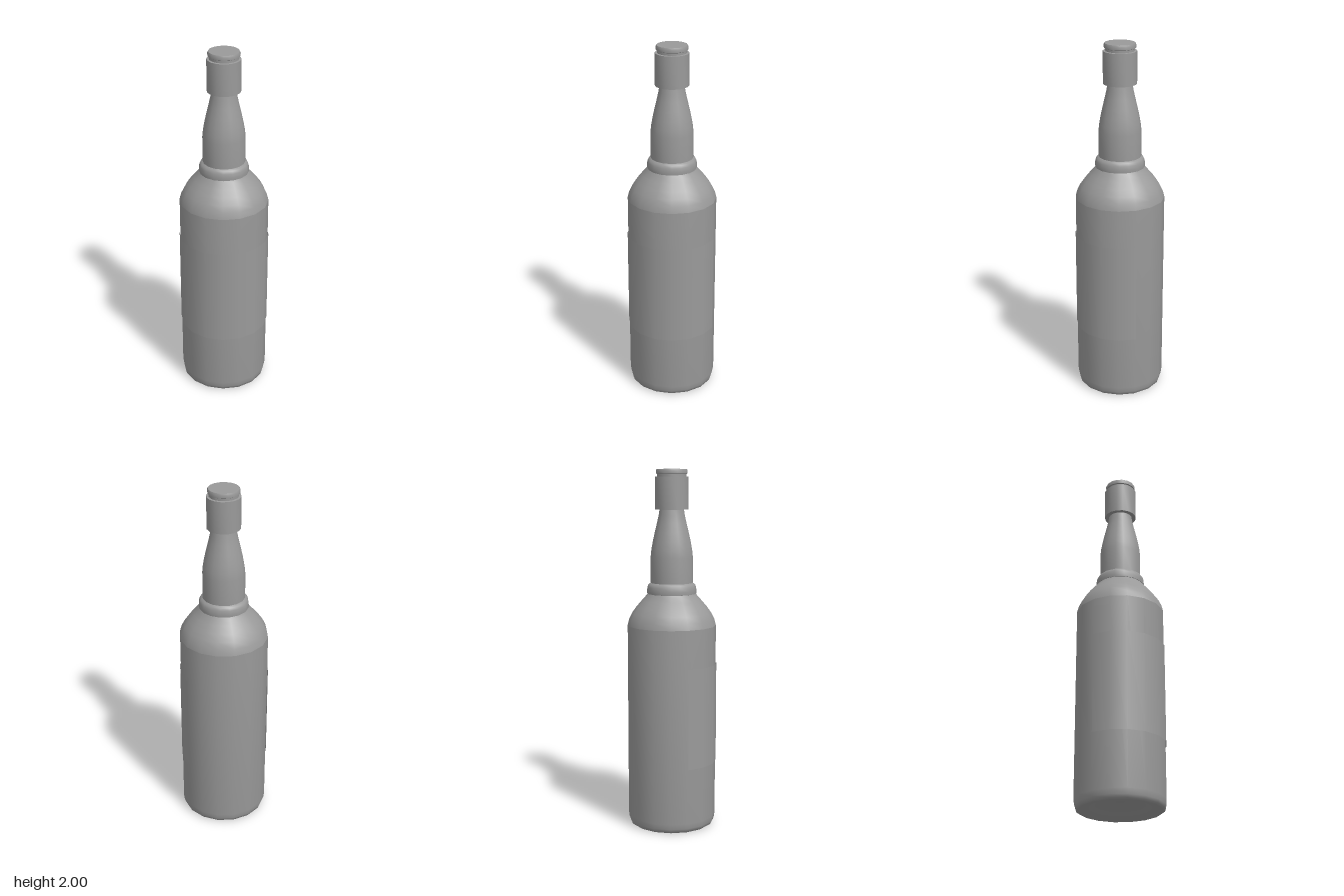
import * as THREE from 'three';
import { toCreasedNormals } from 'three/addons/utils/BufferGeometryUtils.js';

const SIDES = 16;
const material = new THREE.MeshStandardMaterial({ color: 0x9a9a9a });
const thinMaterial = new THREE.MeshStandardMaterial({ color: 0x9a9a9a, side: THREE.DoubleSide });

// Turned part from a profile of [radius, height] pairs, listed bottom to top
function turned(name, profile, crease = 0.7) {
  const points = profile.map(([r, y]) => new THREE.Vector2(r, y));
  const geometry = toCreasedNormals(new THREE.LatheGeometry(points, SIDES), crease);
  const mesh = new THREE.Mesh(geometry, material);
  mesh.name = name;
  return mesh;
}

export function createModel() {
  const bottle = new THREE.Group();
  bottle.name = 'bottle';

  // Straight body with a hollow underside
  bottle.add(turned('body', [
    [0, 0.052], [0.1, 0.046], [0.15, 0.025], [0.2, 0.004], [0.225, 0],
    [0.237, 0.008], [0.243, 0.025], [0.247, 0.055], [0.247, 1.14],
  ], 0.9));

  // Rounded shoulder, with a visible edge where it leaves the body
  bottle.add(turned('shoulder', [
    [0.247, 1.14], [0.238, 1.175], [0.221, 1.21], [0.196, 1.245],
    [0.166, 1.28], [0.141, 1.308], [0.133, 1.32],
  ]));

  // Rounded ring where shoulder and neck meet
  bottle.add(turned('collar', [
    [0.125, 1.315], [0.137, 1.318], [0.138, 1.335], [0.135, 1.355],
    [0.129, 1.37], [0.116, 1.378],
  ], 0.9));

  // Tapering neck
  bottle.add(turned('neck', [
    [0.117, 1.37], [0.117, 1.52], [0.113, 1.56], [0.105, 1.605],
    [0.094, 1.655], [0.082, 1.705], [0.072, 1.75], [0.066, 1.79],
  ]));

  // Sleeve around the mouth
  bottle.add(turned('sleeve', [
    [0.062, 1.782], [0.092, 1.781], [0.092, 1.958], [0.07, 1.96],
  ]));

  // Stopper with a narrow groove under its flat top
  bottle.add(turned('stopper', [
    [0.08, 1.955], [0.08, 1.972], [0.086, 1.975], [0.087, 1.99],
    [0.083, 2], [0, 2],
  ]));

  // Thin label wrapped around the front, ten of the sixteen sides
  const step = (Math.PI * 2) / SIDES;
  const labelProfile = [new THREE.Vector2(0.251, 0.365), new THREE.Vector2(0.251, 0.925)];
  const label = new THREE.Mesh(
    new THREE.LatheGeometry(labelProfile, 10, -5 * step, 10 * step),
    thinMaterial,
  );
  label.name = 'label';
  bottle.add(label);

  // Centre the whole depth, label included
  bottle.children.forEach((part) => { part.position.z = -0.002; });
  return bottle;
}
